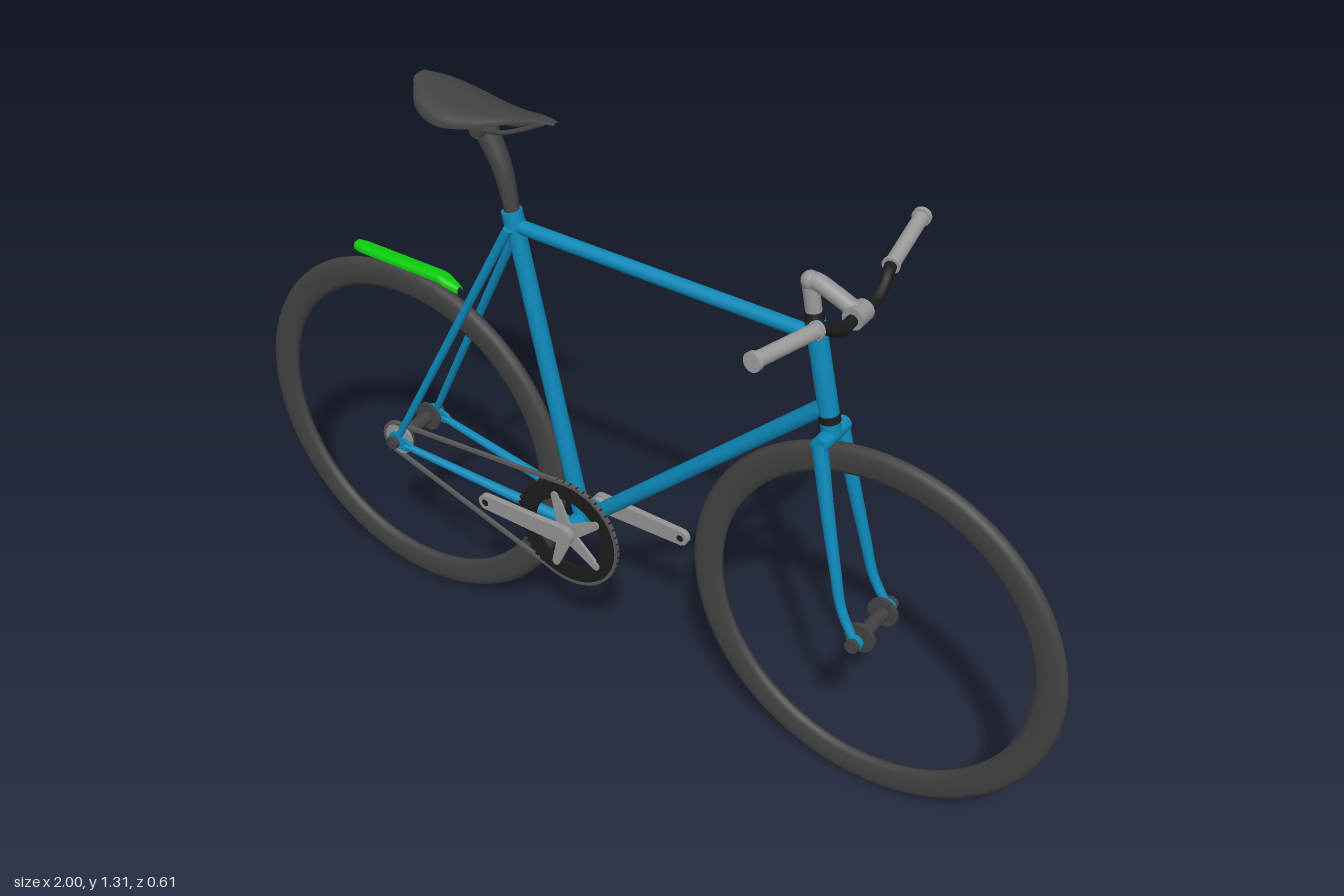
import * as THREE from 'three';
import { ParametricGeometry } from 'three/addons/geometries/ParametricGeometry.js';

const V = (x, y, z = 0) => new THREE.Vector3(x, y, z);

function material(name, color, side = THREE.FrontSide) {
  const m = new THREE.MeshStandardMaterial({ color, side });
  m.name = name;
  return m;
}

// Outline wrapped around two circles
function hull(Kind, ax, ay, ra, bx, by, rb) {
  const base = Math.atan2(by - ay, bx - ax);
  const phi = Math.acos((ra - rb) / Math.hypot(bx - ax, by - ay));
  const p = new Kind();
  p.absarc(ax, ay, ra, base + phi, base - phi + Math.PI * 2, false);
  p.absarc(bx, by, rb, base - phi, base + phi, false);
  p.closePath();
  return p;
}

export function createModel() {
  const blue = material('frameBlue', 0x0d88b8);
  const dark = material('darkRubber', 0x424242, THREE.DoubleSide);
  const black = material('black', 0x1c1c1c);
  const silver = material('silver', 0x949494);
  const gripGrey = material('gripGrey', 0x9c9c9c);
  const steel = material('chainSteel', 0x585858);
  const green = material('fenderGreen', 0x0ccb0c, THREE.DoubleSide);

  const bike = new THREE.Group();
  bike.name = 'bicycle';

  const add = (name, geo, mat) => {
    const m = new THREE.Mesh(geo, mat);
    m.name = name;
    bike.add(m);
    return m;
  };
  // Straight tube between two points
  const rod = (name, mat, a, b, ra, rb = ra, sides = 20) => {
    const d = b.clone().sub(a);
    const m = add(name, new THREE.CylinderGeometry(rb, ra, d.length(), sides), mat);
    m.position.copy(a).addScaledVector(d, 0.5);
    m.quaternion.setFromUnitVectors(V(0, 1, 0), d.normalize());
    return m;
  };
  // Rod across the bike
  const axle = (name, mat, x, y, z0, z1, r, r2 = r) => rod(name, mat, V(x, y, z0), V(x, y, z1), r, r2, 24);
  // Curved tube whose radius runs from r0 to r1
  const sweep = (name, mat, pts, r0, r1 = r0) => {
    const curve = new THREE.CatmullRomCurve3(pts);
    const seg = 28, sides = 14;
    const geo = new THREE.TubeGeometry(curve, seg, 1, sides);
    const pos = geo.attributes.position, p = V(0, 0);
    for (let i = 0; i < pos.count; i++) {
      const t = Math.floor(i / (sides + 1)) / seg;
      const c = curve.getPointAt(t);
      p.fromBufferAttribute(pos, i).sub(c).multiplyScalar(r0 + (r1 - r0) * t).add(c);
      pos.setXYZ(i, p.x, p.y, p.z);
    }
    return add(name, geo, mat);
  };
  // Flat plate cut from an outline facing z
  const plate = (name, mat, shape, z, depth) => {
    const geo = new THREE.ExtrudeGeometry(shape, { depth, bevelEnabled: false, curveSegments: 32 });
    return add(name, geo.translate(0, 0, z), mat);
  };

  const AX = 0.583, AY = 0.421, BX = -0.12, BY = 0.366;

  // Wheels: deep rim and tyre as one oval section
  const section = [[0.35, 0], [0.352, 0.007], [0.362, 0.012], [0.385, 0.014], [0.402, 0.0135],
    [0.412, 0.009], [0.417, 0]];
  const ring = [...section, ...section.slice(0, -1).reverse().map(([r, z]) => [r, -z])]
    .map(([r, z]) => new THREE.Vector2(r, z)).reverse();
  for (const [name, x] of [['rearWheel', -AX], ['frontWheel', AX]]) {
    const w = add(name, new THREE.LatheGeometry(ring, 96), dark);
    w.rotation.x = Math.PI / 2;
    w.position.set(x, AY, 0);
    axle(name + 'HubShell', dark, x, AY, -0.05, 0.05, 0.015);
    axle(name + 'Axle', dark, x, AY, -0.088, 0.088, 0.007);
    for (const s of [-1, 1]) {
      axle(name + 'HubFlange', dark, x, AY, s * 0.042, s * 0.05, 0.033);
      axle(name + 'AxleNut', dark, x, AY, s * 0.073, s * 0.083, 0.015);
    }
  }

  // Main frame tubes
  const seatTop = V(-0.283, 1.068), bottom = V(BX, BY);
  rod('seatTube', blue, bottom, seatTop, 0.019);
  rod('topTube', blue, V(-0.275, 1.04), V(0.419, 1.04), 0.015);
  rod('downTube', blue, bottom, V(0.45, 0.897), 0.017);
  rod('headTube', blue, V(0.456, 0.878), V(0.413, 1.072), 0.02);
  rod('seatCollar', blue, V(-0.277, 1.042), V(-0.284, 1.072), 0.022);
  axle('bottomBracketShell', blue, BX, BY, -0.046, 0.046, 0.023);

  // Headset and fork crown
  rod('upperHeadset', black, V(0.413, 1.07), V(0.409, 1.09), 0.02, 0.016);
  rod('lowerHeadset', black, V(0.459, 0.864), V(0.456, 0.88), 0.021);
  rod('forkSteerer', blue, V(0.464, 0.835), V(0.458, 0.868), 0.02);
  axle('forkCrown', blue, 0.463, 0.834, -0.048, 0.048, 0.017);

  // Stays, fork blades and dropouts on both sides
  for (const s of [-1, 1]) {
    rod('seatStay', blue, V(-0.278, 1.04, s * 0.022), V(-0.572, 0.44, s * 0.066), 0.010, 0.008);
    rod('chainStay', blue, V(-0.125, 0.372, s * 0.032), V(-0.555, 0.416, s * 0.066), 0.013, 0.008);
    plate('rearDropout', blue, hull(THREE.Shape, -AX, AY, 0.02, -0.55, 0.417, 0.012), s * 0.066 - 0.004, 0.008);
    sweep('forkBlade', blue, [V(0.461, 0.838, s * 0.04), V(0.49, 0.71, s * 0.049), V(0.523, 0.575, s * 0.058),
      V(0.547, 0.485, s * 0.063), V(AX, 0.42, s * 0.066)], 0.016, 0.009);
    axle('forkTip', blue, AX, AY, s * 0.06, s * 0.072, 0.016);
  }

  // Seat post sweeping back into the saddle clamp
  sweep('seatPost', dark, [V(-0.281, 1.06), V(-0.29, 1.11), V(-0.305, 1.165), V(-0.33, 1.215), V(-0.345, 1.245)],
    0.015, 0.026);
  axle('saddleClamp', dark, -0.34, 1.243, -0.034, 0.034, 0.016);
  for (const s of [-1, 1]) {
    sweep('saddleRail', dark, [V(-0.45, 1.28, s * 0.03), V(-0.39, 1.25, s * 0.026), V(-0.29, 1.25, s * 0.022),
      V(-0.24, 1.268, s * 0.014), V(-0.195, 1.29, s * 0.006)], 0.005);
  }

  // Saddle shell: spline carries x, crest height and half width
  const saddleLine = new THREE.CatmullRomCurve3([V(-0.5, 1.312, 0.022), V(-0.465, 1.302, 0.062), V(-0.41, 1.292, 0.076),
    V(-0.34, 1.288, 0.06), V(-0.265, 1.293, 0.031), V(-0.205, 1.3, 0.017), V(-0.167, 1.299, 0.008)]);
  add('saddle', new ParametricGeometry((u, v, out) => {
    const c = saddleLine.getPoint(u), q = v * 2 - 1;
    out.set(c.x, c.y - 0.5 * c.z * Math.abs(q) ** 2.2, -c.z * Math.sin(q * Math.PI / 2));
  }, 40, 16), dark);

  // Stem
  rod('stemQuill', silver, V(0.41, 1.086), V(0.397, 1.152), 0.016);
  sweep('stemArm', silver, [V(0.396, 1.145), V(0.408, 1.153), V(0.45, 1.14), V(0.497, 1.12)], 0.017);
  add('stemCap', new THREE.SphereGeometry(0.019, 18, 12), silver).position.set(0.399, 1.151, 0);
  axle('barClamp', silver, 0.5, 1.115, -0.021, 0.021, 0.022);

  // Handlebar and grips
  const half = [[0.5, 1.113, 0.03], [0.501, 1.113, 0.06], [0.5, 1.128, 0.09], [0.495, 1.145, 0.115], [0.488, 1.149, 0.14]];
  sweep('handlebar', black, [...half.map(([x, y, z]) => V(x, y, -z)).reverse(), ...half.map(([x, y, z]) => V(x, y, z))], 0.012);
  for (const s of [-1, 1]) {
    rod('grip', gripGrey, V(0.491, 1.148, s * 0.13), V(0.463, 1.164, s * 0.3), 0.015);
    rod('gripFlange', gripGrey, V(0.491, 1.148, s * 0.13), V(0.49, 1.149, s * 0.136), 0.018);
    rod('gripEnd', gripGrey, V(0.4643, 1.1633, s * 0.292), V(0.463, 1.164, s * 0.302), 0.019);
  }

  // Chainring with teeth and an open centre
  const teeth = 48, outline = [];
  for (let i = 0; i < teeth * 2; i++) {
    const a = i * Math.PI / teeth, r = i % 2 ? 0.133 : 0.124;
    outline.push(new THREE.Vector2(BX + r * Math.cos(a), BY + r * Math.sin(a)));
  }
  const ringShape = new THREE.Shape(outline);
  ringShape.holes.push(new THREE.Path().absarc(BX, BY, 0.086, 0, Math.PI * 2, true));
  plate('chainring', black, ringShape, 0.052, 0.007);

  // Five-arm spider
  for (let i = 0; i < 5; i++) {
    const a = Math.PI + i * Math.PI * 0.4;
    plate('spiderArm', silver, hull(THREE.Shape, BX, BY, 0.019,
      BX + 0.094 * Math.cos(a), BY + 0.094 * Math.sin(a), 0.009), 0.056, 0.007);
  }

  // Cranks and spindle
  axle('crankSpindle', silver, BX, BY, -0.078, 0.078, 0.02);
  for (const s of [-1, 1]) {
    const tip = BX - s * 0.207;
    plate('crankArm', silver, hull(THREE.Shape, BX, BY, 0.022, tip, BY, 0.018), s * 0.07 - 0.007, 0.014);
    axle('pedalHole', black, tip, BY, s * 0.0625, s * 0.0775, 0.008);
  }

  // Chain, rear cog and lock ring
  const chain = hull(THREE.Shape, -AX, AY, 0.042, BX, BY, 0.131);
  chain.holes.push(hull(THREE.Path, -AX, AY, 0.035, BX, BY, 0.124));
  plate('chain', steel, chain, 0.051, 0.009);
  axle('rearCog', silver, -AX, AY, 0.052, 0.059, 0.038);
  axle('rearLockRing', silver, -AX, AY, 0.058, 0.064, 0.025);

  // Clip-on rear fender: shallow channel dropping at its front
  add('rearFender', new ParametricGeometry((u, v, out) => {
    const x = -0.71 + 0.28 * u, q = v * 2 - 1;
    const drop = Math.max(0, x + 0.475) * 0.4;
    const w = 0.018 * Math.min(1, 0.7 + u * 4, 0.5 + (1 - u) * 4);
    out.set(x, 0.858 - drop - 0.014 * Math.abs(q) ** 3, -w * Math.sin(q * Math.PI / 2));
  }, 28, 12), green);

  return bike;
}
